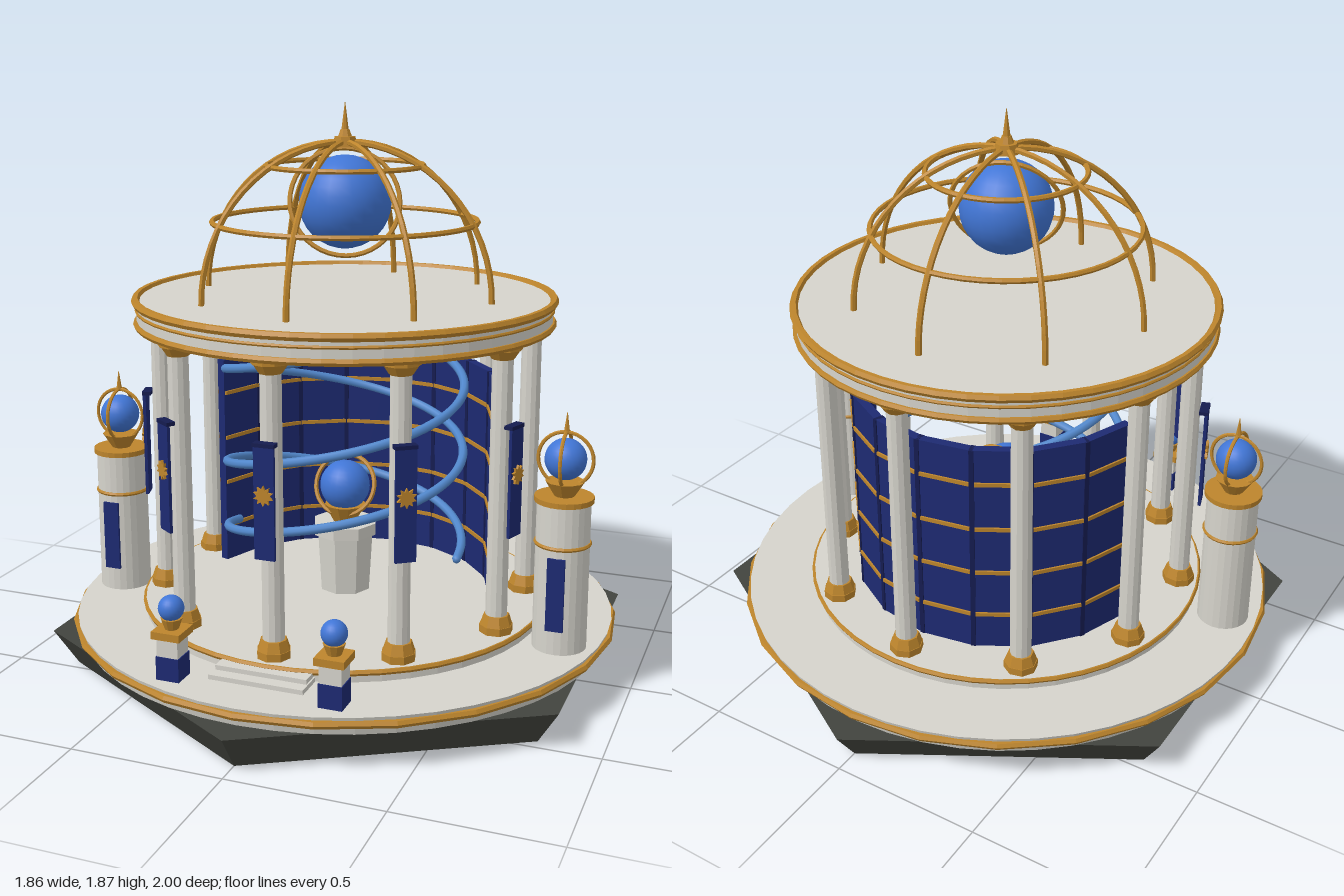
import * as THREE from 'three';

const mat = (name, color, flatShading = false) => {
  const m = new THREE.MeshStandardMaterial({ color, flatShading });
  m.name = name;
  return m;
};

export function createModel() {
  const root = new THREE.Group();
  root.name = 'observatoryPavilion';
  const stone = mat('paleStone', 0xd6d4cc, true);
  const gold = mat('gold', 0xbd852c, true);
  const navy = mat('navy', 0x1d2a72, true);
  const darkNavy = mat('darkNavy', 0x151c50, true);
  const blue = mat('globeBlue', 0x4176d6);
  const sky = mat('ribbonBlue', 0x5288cc);
  const rock = mat('darkRock', 0x42443e, true);

  const add = (parent, name, geo, m, x = 0, y = 0, z = 0) => {
    const mesh = new THREE.Mesh(geo, m);
    mesh.name = name;
    mesh.position.set(x, y, z);
    parent.add(mesh);
    return mesh;
  };
  // Cylinder between two heights, with top and bottom radius
  const drum = (parent, name, m, y0, y1, rBottom, rTop, sides) =>
    add(parent, name, new THREE.CylinderGeometry(rTop, rBottom, y1 - y0, sides), m, 0, (y0 + y1) / 2, 0);
  const box = (parent, name, m, w, h, d, x, y, z) =>
    add(parent, name, new THREE.BoxGeometry(w, h, d), m, x, y, z);
  const ball = (parent, name, r, y) =>
    add(parent, name, new THREE.SphereGeometry(r, 24, 16), blue, 0, y, 0);
  // Horizontal hoop
  const hoop = (parent, name, r, tube, y, seg = 48) => {
    const t = add(parent, name, new THREE.TorusGeometry(r, tube, 6, seg), gold, 0, y, 0);
    t.rotation.x = Math.PI / 2;
    return t;
  };
  const group = (name, x = 0, z = 0, angle = 0) => {
    const g = new THREE.Group();
    g.name = name;
    g.position.set(x, 0, z);
    g.rotation.y = angle;
    root.add(g);
    return g;
  };
  // Group on a circle, its +z pointing outward
  const around = (name, r, a) => group(name, r * Math.sin(a), r * Math.cos(a), a);

  // Base, terrace and platform
  drum(root, 'hexagonalBase', rock, 0, 0.12, 0.92, 1.0, 6);
  drum(root, 'terrace', stone, 0.12, 0.18, 0.9, 0.915, 48);
  hoop(root, 'terraceTrim', 0.918, 0.013, 0.158, 24);
  drum(root, 'platform', stone, 0.18, 0.22, 0.685, 0.685, 48);
  hoop(root, 'platformTrim', 0.685, 0.01, 0.211);
  box(root, 'upperStep', stone, 0.3, 0.03, 0.08, 0, 0.195, 0.685);
  box(root, 'lowerStep', stone, 0.31, 0.015, 0.1, 0, 0.1875, 0.715);

  // Eight-rayed emblem shape
  const star = new THREE.Shape();
  for (let i = 0; i < 20; i++) {
    const r = i % 2 ? 0.02 : 0.032, a = (i / 20) * Math.PI * 2;
    star[i ? 'lineTo' : 'moveTo'](r * Math.sin(a), r * Math.cos(a));
  }
  const starGeo = new THREE.ExtrudeGeometry(star, { depth: 0.008, bevelEnabled: false });

  // Ten columns, banners on the front five
  for (let i = -4; i <= 5; i++) {
    const a = (i * Math.PI) / 5;
    const c = around('column', 0.62, a);
    drum(c, 'shaft', stone, 0.22, 1.16, 0.035, 0.033, 12);
    drum(c, 'columnFoot', gold, 0.22, 0.245, 0.055, 0.055, 8);
    drum(c, 'columnBase', gold, 0.245, 0.278, 0.053, 0.042, 8);
    drum(c, 'capital', gold, 1.115, 1.145, 0.036, 0.056, 10);
    drum(c, 'abacus', gold, 1.145, 1.16, 0.06, 0.06, 10);
    if (Math.abs(i) <= 2) {
      box(c, 'banner', navy, 0.066, 0.355, 0.01, 0, 0.73, 0.056);
      box(c, 'bannerRail', darkNavy, 0.07, 0.012, 0.03, 0, 0.908, 0.048);
      add(c, 'bannerEmblem', starGeo, gold, 0, 0.755, 0.061);
    }
  }

  // Roof ring
  drum(root, 'roof', stone, 1.16, 1.243, 0.685, 0.685, 48);
  hoop(root, 'roofLowerTrim', 0.685, 0.012, 1.168);
  hoop(root, 'roofMiddleTrim', 0.685, 0.006, 1.212);
  hoop(root, 'roofUpperTrim', 0.688, 0.014, 1.242);

  // Open dome cage
  const dome = group('dome');
  for (let i = 0; i < 4; i++) {
    const rib = add(dome, 'domeRib', new THREE.TorusGeometry(0.5, 0.01, 6, 32, Math.PI), gold, 0, 1.245, 0);
    rib.rotation.y = (i * Math.PI) / 4;
  }
  hoop(dome, 'domeLowerHoop', 0.434, 0.009, 1.49);
  hoop(dome, 'domeUpperHoop', 0.255, 0.009, 1.67);
  drum(dome, 'finialCollar', gold, 1.73, 1.762, 0.042, 0.036, 8);
  drum(dome, 'finialBulb', gold, 1.762, 1.785, 0.024, 0.015, 8);
  drum(dome, 'finialSpike', gold, 1.78, 1.87, 0.013, 0.001, 8);
  ball(dome, 'domeGlobe', 0.152, 1.552);
  add(dome, 'globeOrbit', new THREE.TorusGeometry(0.18, 0.008, 6, 40), gold, 0, 1.552, 0).rotation.set(-0.4, 0.4, 0);

  // Curved rear screen of eight panels
  const step = Math.PI / 9;
  for (let i = 0; i < 8; i++) {
    const p = around('screenPanel', 0.505, Math.PI + (i - 3.5) * step);
    box(p, 'panel', navy, 0.176, 0.745, 0.03, 0, 0.5925, 0);
    for (let k = 0; k < 4; k++)
      box(p, 'panelBand', gold, 0.168, 0.013, 0.042, 0, 0.35 + k * 0.165, 0);
  }
  for (let i = 1; i < 8; i++) {
    const p = around('screenSeam', 0.512, Math.PI + (i - 4) * step);
    box(p, 'seam', darkNavy, 0.016, 0.745, 0.036, 0, 0.5925, 0);
  }

  // Two intertwined spiral ribbons, 1.25 turns each
  [[0, 1.1], [Math.PI, 1.055]].forEach(([start, top]) => {
    const pts = [];
    for (let i = 0; i <= 40; i++) {
      const t = i / 40, a = start - t * 2.5 * Math.PI;
      pts.push(new THREE.Vector3(0.4 * Math.sin(a), top - 0.685 * t, 0.4 * Math.cos(a)));
    }
    add(root, 'spiralRibbon', new THREE.TubeGeometry(new THREE.CatmullRomCurve3(pts), 120, 0.015, 8), sky);
    [pts[0], pts[40]].forEach((p) =>
      add(root, 'ribbonEnd', new THREE.SphereGeometry(0.015, 8, 6), sky, p.x, p.y, p.z));
  });

  // Central globe on an octagonal plinth
  const centre = group('centralGlobe');
  drum(centre, 'plinthBody', stone, 0.22, 0.42, 0.088, 0.1, 8);
  drum(centre, 'plinthTop', stone, 0.42, 0.46, 0.112, 0.112, 8);
  drum(centre, 'globeCup', gold, 0.46, 0.52, 0.04, 0.07, 12);
  ball(centre, 'globe', 0.085, 0.587);
  add(centre, 'globeRing', new THREE.TorusGeometry(0.105, 0.008, 6, 32), gold, 0, 0.587, 0).rotation.x = -0.4;

  for (const s of [-1, 1]) {
    // Tall side pedestals with caged globes
    const p = group('sidePedestal', s * 0.785, 0.14);
    drum(p, 'pedestalShaft', stone, 0.18, 0.67, 0.087, 0.085, 24);
    hoop(p, 'pedestalBand', 0.085, 0.007, 0.53, 24);
    drum(p, 'pedestalCap', gold, 0.665, 0.682, 0.094, 0.094, 24);
    drum(p, 'pedestalCup', gold, 0.682, 0.73, 0.032, 0.062, 12);
    ball(p, 'pedestalGlobe', 0.066, 0.8);
    for (const turn of [0, Math.PI / 2])
      add(p, 'cageRing', new THREE.TorusGeometry(0.087, 0.006, 6, 32), gold, 0, 0.8, 0).rotation.y = turn;
    drum(p, 'pedestalSpike', gold, 0.885, 0.95, 0.01, 0.001, 6);
    box(p, 'pedestalPanel', navy, 0.056, 0.24, 0.009, 0, 0.38, 0.087);

    // Small posts beside the steps
    const q = group('stepPost', s * 0.263, 0.785);
    box(q, 'postFoot', navy, 0.076, 0.075, 0.076, 0, 0.2175, 0);
    box(q, 'postBody', stone, 0.07, 0.06, 0.07, 0, 0.285, 0);
    box(q, 'postCap', gold, 0.094, 0.024, 0.094, 0, 0.326, 0);
    drum(q, 'postCup', gold, 0.338, 0.372, 0.022, 0.034, 10);
    ball(q, 'postGlobe', 0.04, 0.403);
  }
  return root;
}
